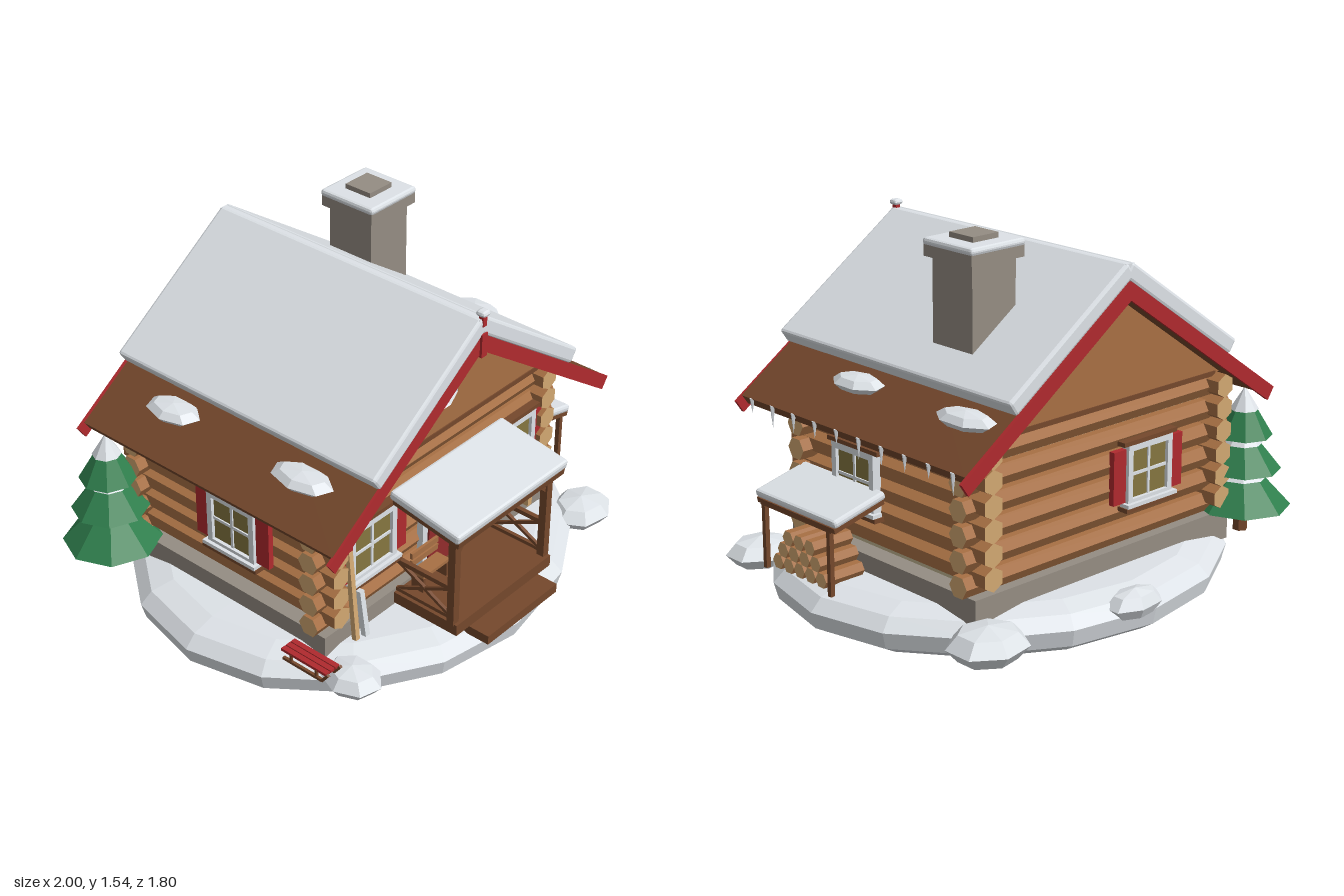
import * as THREE from 'three';
import { RoundedBoxGeometry } from 'three/addons/geometries/RoundedBoxGeometry.js';

const material = (name, color) => Object.assign(new THREE.MeshStandardMaterial({ color }), { name });

export function createModel() {
  const snow = material('snow', 0xe4e9ee), log = material('log wood', 0xa87044), cut = material('cut wood', 0xd2a872);
  const brown = material('dark wood', 0x75482c), red = material('red paint', 0xb02a2e), stone = material('stone', 0x958d83);
  const green = material('evergreen', 0x2f7f4d), glass = material('window glass', 0x857640);
  const chink = material('chinking', 0xc2b692), doorRed = material('door red', 0x922c2c);
  const model = new THREE.Group();

  // Adds a faceted mesh
  function add(name, geo, mat, x = 0, y = 0, z = 0, rx = 0, ry = 0, rz = 0, parent = model) {
    const g = geo.index ? geo.toNonIndexed() : geo;
    g.computeVertexNormals();
    const m = new THREE.Mesh(g, mat);
    m.name = name;
    m.position.set(x, y, z);
    m.rotation.set(rx, ry, rz);
    parent.add(m);
    return m;
  }
  const box = (w, h, d) => new THREE.BoxGeometry(w, h, d);
  const slab = (w, h, d) => new RoundedBoxGeometry(w, h, d, 1, 0.012);
  const cyl = (r0, r1, h, n = 6) => new THREE.CylinderGeometry(r0, r1, h, n);
  // Square beam between two points
  function beam(name, a, b, w, mat = brown) {
    const p = new THREE.Vector3(...a), q = new THREE.Vector3(...b), d = q.clone().sub(p);
    const m = add(name, box(w, d.length(), w), mat);
    m.position.copy(p).add(q).multiplyScalar(0.5);
    m.quaternion.setFromUnitVectors(new THREE.Vector3(0, 1, 0), d.normalize());
  }
  function blob(name, x, y, z, sx, sy, sz) {
    add(name, new THREE.SphereGeometry(1, 7, 4), snow, x, y, z).scale.set(sx, sy, sz);
  }

  // Snowy ground and drifts
  const profile = [[0, 0], [0.9, 0], [0.97, 0.04], [0.99, 0.11], [0.94, 0.16], [0.84, 0.185], [0, 0.19]];
  add('snowGround', new THREE.LatheGeometry(profile.map(p => new THREE.Vector2(...p)), 16), snow, 0.01).scale.z = 0.88;
  blob('snowDrift', -0.69, 0.13, 0.61, 0.11, 0.06, 0.13);
  blob('snowDrift', 0.78, 0.125, 0.61, 0.15, 0.065, 0.125);
  blob('snowDrift', 0.74, 0.135, -0.71, 0.17, 0.075, 0.15);
  blob('snowDrift', 0.08, 0.14, -0.82, 0.14, 0.06, 0.08);

  // Foundation, wall core and crossing logs
  add('foundation', box(1.41, 0.13, 1.09), stone, 0, 0.195, -0.06);
  add('wallCore', box(1.25, 0.6, 0.93), chink, 0, 0.56, -0.06);
  for (let i = 0; i < 6; i++) {
    for (const z of [0.42, -0.535])
      add('crossLog', cyl(0.048, 0.048, 1.456), [log, cut, cut], 0, 0.3 + 0.1 * i, z, 0, 0, Math.PI / 2);
    for (const x of [-0.636, 0.636])
      add('sideLog', cyl(0.05, 0.05, 1.14), [log, cut, cut], x, 0.332 + 0.095 * i, -0.06, Math.PI / 2);
  }

  // Gables
  const gable = new THREE.Shape([[-0.66, 0.855], [0.66, 0.855], [0, 1.315]].map(p => new THREE.Vector2(...p)));
  for (const z of [0.42, -0.575]) {
    add('gable', new THREE.ExtrudeGeometry(gable, { depth: 0.04, bevelEnabled: false }), log, 0, 0, z);
    add('gableSill', box(1.26, 0.02, 0.05), brown, 0, 0.852, z + 0.02);
  }

  // Main roof, made from slabs laid along each slope
  const pitch = 0.69, tilt = Math.atan(pitch), sin = Math.sin(tilt), cos = Math.cos(tilt);
  function slope(name, geoFn, mat, s, x0, x1, t, off, z0, z1) {
    const mx = (x0 + x1) / 2;
    add(name, geoFn((x1 - x0) / cos, t, z1 - z0), mat,
      s * (mx + sin * off), 1.364 - pitch * mx + cos * off, (z0 + z1) / 2, 0, 0, -s * tilt);
  }
  for (const s of [-1, 1]) {
    slope('roofDeck', box, brown, s, 0, 0.826, 0.046, -0.023, -0.685, 0.635);
    slope('roofSnow', slab, snow, s, -0.026, 0.58, 0.068, 0.034, -0.695, 0.65);
    slope('fascia', box, red, s, 0, 0.855, 0.06, -0.03, 0.63, 0.645);
    slope('fascia', box, red, s, 0, 0.855, 0.06, -0.03, -0.7, -0.685);
  }
  add('ridgeSnow', box(0.044, 0.06, 1.335), snow, 0, 1.401, -0.0225);
  add('finialPost', box(0.033, 0.1, 0.03), red, 0, 1.32, 0.64);
  add('finialKnob', box(0.022, 0.05, 0.022), red, 0, 1.425, 0.642);
  add('finialSnow', slab(0.045, 0.024, 0.045), snow, 0, 1.455, 0.642);
  blob('eaveSnow', -0.68, 0.94, -0.32, 0.08, 0.035, 0.13);
  blob('eaveSnow', -0.685, 0.94, 0.36, 0.08, 0.035, 0.145);
  blob('eaveSnow', 0.68, 0.94, -0.53, 0.08, 0.035, 0.145);
  blob('eaveSnow', 0.68, 0.94, 0.08, 0.08, 0.035, 0.13);
  for (let i = 0; i < 10; i++) {
    const h = 0.06 + 0.03 * ((i * 7) % 4) / 3;
    add('icicle', new THREE.ConeGeometry(0.011, h, 5), snow, 0.822, 0.795 - h / 2, 0.57 - 0.132 * i, Math.PI);
  }

  // Chimney
  add('chimney', box(0.22, 0.5, 0.22), stone, 0.38, 1.21, -0.25);
  add('chimneyCap', box(0.265, 0.05, 0.265), stone, 0.38, 1.47, -0.25);
  add('chimneySnow', slab(0.275, 0.03, 0.275), snow, 0.38, 1.502, -0.25);
  add('flue', box(0.13, 0.06, 0.13), stone, 0.38, 1.508, -0.25);

  // Windows, built facing +z and turned to their wall
  function addWindow(x, y, z, ry, w, h, shutters) {
    const g = new THREE.Group();
    g.name = 'window';
    g.position.set(x, y, z);
    g.rotation.y = ry;
    model.add(g);
    const part = (name, bw, bh, bd, mat, px, py, pz) => add(name, box(bw, bh, bd), mat, px, py, pz, 0, 0, 0, g);
    part('pane', w - 0.02, h - 0.02, 0.02, glass, 0, 0, 0);
    for (const s of [-1, 1]) {
      part('frameSide', 0.026, h, 0.04, snow, s * (w / 2 - 0.013), 0, 0.005);
      part('frameRail', w, 0.026, 0.04, snow, 0, s * (h / 2 - 0.013), 0.005);
      if (shutters) part('shutter', 0.068, h - 0.03, 0.025, red, s * (w / 2 + 0.036), 0, 0);
    }
    part('mullion', 0.012, h, 0.008, snow, 0, 0, 0.012);
    part('crossbar', w, 0.012, 0.008, snow, 0, 0, 0.012);
    part('sill', w + 0.04, 0.018, 0.05, brown, 0, -h / 2 - 0.012, 0.012);
    part('sillSnow', w + 0.03, 0.016, 0.045, snow, 0, -h / 2 + 0.004, 0.018);
    part('header', w + 0.05, 0.018, 0.04, brown, 0, h / 2 + 0.008, 0.005);
  }
  addWindow(-0.437, 0.565, 0.475, 0, 0.265, 0.255, true);
  addWindow(0.437, 0.565, 0.475, 0, 0.265, 0.255, true);
  addWindow(-0.22, 0.55, -0.59, Math.PI, 0.25, 0.25, true);
  addWindow(0.69, 0.56, 0.085, Math.PI / 2, 0.25, 0.25, false);
  addWindow(-0.69, 0.55, 0, -Math.PI / 2, 0.25, 0.25, true);

  // Round attic window
  add('atticFrame', new THREE.TorusGeometry(0.078, 0.015, 4, 8), snow, 0, 1.037, 0.465, 0, 0, Math.PI / 8);
  add('atticPane', cyl(0.078, 0.078, 0.01, 8), glass, 0, 1.037, 0.461, Math.PI / 2, Math.PI / 8);
  add('atticMullion', box(0.01, 0.14, 0.008), snow, 0, 1.037, 0.468);
  add('atticCrossbar', box(0.14, 0.01, 0.008), snow, 0, 1.037, 0.468);

  // Door and wreath
  add('doorFrame', box(0.255, 0.4, 0.03), snow, 0, 0.445, 0.47);
  add('door', box(0.195, 0.355, 0.03), doorRed, 0, 0.423, 0.478);
  add('doorKnob', new THREE.IcosahedronGeometry(0.011, 0), cut, 0.07, 0.42, 0.5);
  add('wreath', new THREE.TorusGeometry(0.043, 0.018, 5, 10), green, 0, 0.52, 0.505);
  add('wreathBow', box(0.035, 0.022, 0.02), red, 0, 0.472, 0.518);

  // Porch
  add('porchDeck', box(0.6, 0.05, 0.33), brown, 0, 0.221, 0.638);
  add('porchStep', box(0.44, 0.04, 0.12), brown, 0, 0.176, 0.838);
  add('porchRoof', box(0.66, 0.028, 0.33), brown, 0, 0.683, 0.66, 0.17);
  add('porchSnow', slab(0.685, 0.042, 0.345), snow, 0, 0.715, 0.66, 0.17);
  add('porchBeam', box(0.62, 0.03, 0.03), brown, 0, 0.648, 0.772);
  for (const s of [-1, 1]) {
    const x = s * 0.287;
    add('porchPost', box(0.034, 0.41, 0.034), brown, x, 0.445, 0.772);
    beam('porchSideBeam', [x, 0.65, 0.78], [x, 0.69, 0.5], 0.025);
    beam('porchBrace', [x, 0.56, 0.772], [s * 0.2, 0.645, 0.772], 0.018);
    beam('railTop', [x, 0.405, 0.77], [x, 0.405, 0.49], 0.02);
    beam('railBottom', [x, 0.265, 0.77], [x, 0.265, 0.49], 0.016);
    beam('railCross', [x, 0.27, 0.76], [x, 0.4, 0.5], 0.014);
    beam('railCross', [x, 0.4, 0.76], [x, 0.27, 0.5], 0.013);
  }
  add('lanternHook', box(0.006, 0.07, 0.006), brown, 0.2, 0.62, 0.745);
  add('lantern', box(0.025, 0.055, 0.025), cut, 0.2, 0.557, 0.745);
  add('lanternCap', cyl(0.005, 0.024, 0.018, 4), brown, 0.2, 0.592, 0.745, 0, Math.PI / 4);

  // Porch bench
  add('benchSeat', box(0.16, 0.014, 0.065), log, -0.15, 0.322, 0.545);
  for (const y of [0.36, 0.395]) add('benchBack', box(0.16, 0.026, 0.012), log, -0.15, y, 0.512);
  for (const x of [-0.222, -0.078]) add('benchLeg', box(0.014, 0.075, 0.06), brown, x, 0.28, 0.545);

  // Woodshed lean-to with firewood
  add('shedRoof', box(0.25, 0.022, 0.48), brown, 0.815, 0.474, 0.163, 0, 0, -0.24);
  add('shedSnow', slab(0.26, 0.034, 0.495), snow, 0.815, 0.5, 0.163, 0, 0, -0.24);
  for (const z of [0.373, -0.03]) {
    add('shedPost', box(0.02, 0.28, 0.02), brown, 0.922, 0.305, z);
    beam('shedRafter', [0.93, 0.436, z], [0.7, 0.487, z], 0.016);
  }
  add('shedBeam', box(0.02, 0.02, 0.44), brown, 0.922, 0.437, 0.17);
  for (let row = 0; row < 3; row++)
    for (let i = 0; i < 5 - row; i++)
      add('firewood', cyl(0.033, 0.033, 0.19), [log, cut, cut], 0.825, 0.208 + 0.057 * row,
        0.17 + 0.067 * (i - (4 - row) / 2), 0, 0, Math.PI / 2);

  // Snow-dusted fir tree
  const fx = -0.795, fz = -0.6;
  add('treeTrunk', cyl(0.028, 0.032, 0.15), brown, fx, 0.22, fz);
  for (const [r, y, h] of [[0.205, 0.257, 0.22], [0.16, 0.415, 0.2], [0.12, 0.56, 0.2]]) {
    add('treeTier', new THREE.ConeGeometry(r, h, 8), green, fx, y + h / 2, fz);
    add('treeSnow', new THREE.ConeGeometry(r * 0.5, h * 0.48, 8), snow, fx, y + h * 0.79, fz);
  }

  // Sled
  for (const x of [-0.825, -0.755]) {
    beam('sledRunner', [x, 0.185, 0.38], [x, 0.185, 0.58], 0.012);
    beam('sledCurl', [x, 0.185, 0.58], [x, 0.225, 0.61], 0.012);
    for (const z of [0.42, 0.55]) add('sledLeg', box(0.01, 0.04, 0.01), brown, x, 0.2, z);
  }
  for (const x of [-0.817, -0.79, -0.763]) add('sledSlat', box(0.023, 0.012, 0.23), red, x, 0.222, 0.485);

  // Skis leaning by the front wall
  beam('ski', [-0.6, 0.23, 0.55], [-0.585, 0.62, 0.5], 0.022, cut);
  beam('ski', [-0.555, 0.23, 0.56], [-0.555, 0.43, 0.53], 0.024, snow);
  add('skiTip', box(0.028, 0.05, 0.02), red, -0.585, 0.63, 0.5);
  return model;
}
